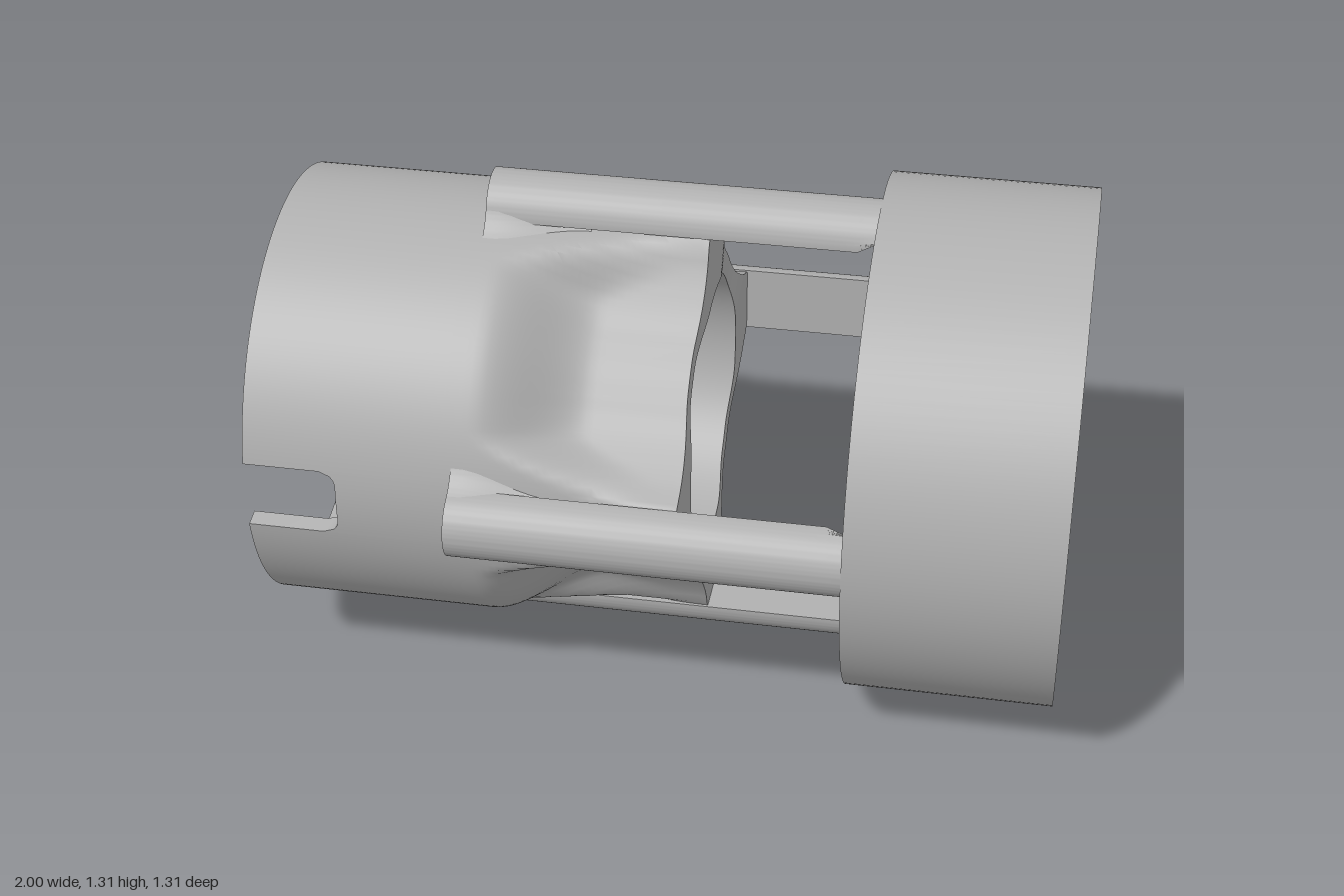
import * as THREE from 'three';
import { toCreasedNormals } from 'three/addons/utils/BufferGeometryUtils.js';

const AXIS_Y = 0.653; // height of the main axis, which runs along x
const SLEEVE_R = 0.555, SLEEVE_IN = 0.51, BORE = 0.357, SHOULDER_X = -0.5;
const SLOT = 9.33; // half angle of the key slot in degrees

const smooth = (a, b, v) => THREE.MathUtils.smoothstep(v, a, b);

// Outer radius of the fluted end, by angle from the nearest rib
const FLUTE = [[0, 0.572], [8.9, 0.572], [11.5, 0.53], [14.5, 0.498], [18, 0.472],
  [22, 0.449], [26, 0.433], [31, 0.422], [38, 0.418], [45, 0.418]];
function fluteRadius(a) {
  for (let i = 1; i < FLUTE.length; i++) {
    const [a0, r0] = FLUTE[i - 1], [a1, r1] = FLUTE[i];
    if (a <= a1) return r0 + (r1 - r0) * (a - a0) / (a1 - a0);
  }
  return 0.418;
}

// Body radius: round sleeve blending into four scooped flutes
function bodyRadius(x, a) {
  const start = -0.2 - 0.24 * smooth(8, 23, a);
  return THREE.MathUtils.lerp(SLEEVE_R, fluteRadius(a), smooth(start, start + 0.27, x));
}

// Where the sleeve begins at an angle inside the round-cornered slot
function slotStart(deg) {
  const t = Math.max(0, 1 - (SLOT - Math.abs(deg)) / 4.1);
  return -0.77 - 0.04 * (1 - Math.sqrt(Math.max(0, 1 - t * t)));
}

// Sleeve, shoulder, bore and flutes: one cross-section loop per angle
function bodyGeometry() {
  const columns = [];
  for (let i = 0; i <= 16; i++) {
    const deg = -SLOT + (2 * SLOT * i) / 16;
    columns.push([deg, slotStart(deg)]);
  }
  columns.push([SLOT, -1]);
  for (let deg = 10; deg <= 350; deg += 2) columns.push([deg, -1]);
  columns.push([360 - SLOT, -1]);

  const pos = [], index = [], stations = 30;
  let n = 0;
  for (const [deg, startX] of columns) {
    const a = Math.abs(((deg + 405) % 90) - 45);
    const endX = 0.075 - 0.013 * smooth(12, 40, a);
    const loop = [[SHOULDER_X, BORE], [endX, BORE]];
    for (let i = 0; i <= stations; i++) {
      const x = endX + (SHOULDER_X - endX) * i / stations;
      loop.push([x, bodyRadius(x, a)]);
    }
    loop.push([startX, SLEEVE_R], [startX, SLEEVE_IN], [SHOULDER_X, SLEEVE_IN]);
    n = loop.length;
    const t = THREE.MathUtils.degToRad(deg);
    for (const [x, r] of loop) pos.push(x, r * Math.sin(t), r * Math.cos(t));
  }
  for (let i = 0; i < columns.length; i++) {
    const j = (i + 1) % columns.length;
    for (let k = 0; k < n; k++) {
      const m = (k + 1) % n;
      const a = i * n + k, b = i * n + m, c = j * n + m, d = j * n + k;
      index.push(a, c, b, a, d, c);
    }
  }
  const g = new THREE.BufferGeometry();
  g.setAttribute('position', new THREE.Float32BufferAttribute(pos, 3));
  g.setIndex(index);
  return toCreasedNormals(g, 0.6);
}

// End ring with a flared mouth
function ringGeometry() {
  const pts = [[0.585, 0.48], [0.653, 0.48], [0.653, 1], [0.649, 1], [0.63, 0.975], [0.613, 0.94],
    [0.6, 0.9], [0.591, 0.85], [0.586, 0.79], [0.585, 0.73], [0.585, 0.48]];
  const g = new THREE.LatheGeometry(pts.map(([r, x]) => new THREE.Vector2(r, x)), 128);
  g.rotateZ(-Math.PI / 2);
  return toCreasedNormals(g, 0.6);
}

// Extrudes a radial section along x
function extrudeAlongX(shape, x0, x1, steps) {
  const g = new THREE.ExtrudeGeometry(shape, { depth: x1 - x0, steps, bevelEnabled: false, curveSegments: 24 });
  g.rotateY(Math.PI / 2);
  g.translate(x0, 0, 0);
  return g;
}

// Half-round rod, its underside chamfered where it meets the ring
function rodGeometry() {
  const s = new THREE.Shape();
  s.absarc(0, 0.563, 0.09, 0, Math.PI, false);
  s.closePath();
  const g = extrudeAlongX(s, -0.48, 0.482, 20);
  const p = g.attributes.position;
  for (let i = 0; i < p.count; i++) {
    if (p.getX(i) > 0.47 && p.getY(i) < 0.59) p.setY(i, 0.59);
  }
  return toCreasedNormals(g, 0.5);
}

// Concave fillet blending a rod's foot into the sleeve, tapering forward
function filletGeometry() {
  const s = new THREE.Shape();
  s.moveTo(-0.145, 0.532);
  s.lineTo(0.145, 0.532);
  s.quadraticCurveTo(0.098, 0.556, 0.078, 0.607);
  s.lineTo(-0.078, 0.607);
  s.quadraticCurveTo(-0.098, 0.556, -0.145, 0.532);
  const g = extrudeAlongX(s, -0.48, -0.22, 8);
  const p = g.attributes.position;
  for (let i = 0; i < p.count; i++) {
    p.setZ(i, p.getZ(i) * (1 - 0.36 * smooth(-0.46, -0.22, p.getX(i))));
  }
  return toCreasedNormals(g, 0.5);
}

export function createModel() {
  const metal = new THREE.MeshStandardMaterial({ color: 0xb0b0b0 });
  metal.name = 'plain grey';
  const model = new THREE.Group();
  model.name = 'flutedCage';

  const add = (geometry, name, angle = 0) => {
    const mesh = new THREE.Mesh(geometry, metal);
    mesh.name = name;
    mesh.position.y = AXIS_Y;
    mesh.rotation.x = angle;
    model.add(mesh);
  };

  add(bodyGeometry(), 'flutedSleeve');
  add(ringGeometry(), 'endRing');

  // Four rods and their fillets around the axis
  const rod = rodGeometry(), fillet = filletGeometry();
  for (let i = 0; i < 4; i++) {
    add(rod, 'rod' + (i + 1), i * Math.PI / 2);
    add(fillet, 'rodFillet' + (i + 1), i * Math.PI / 2);
  }
  return model;
}
